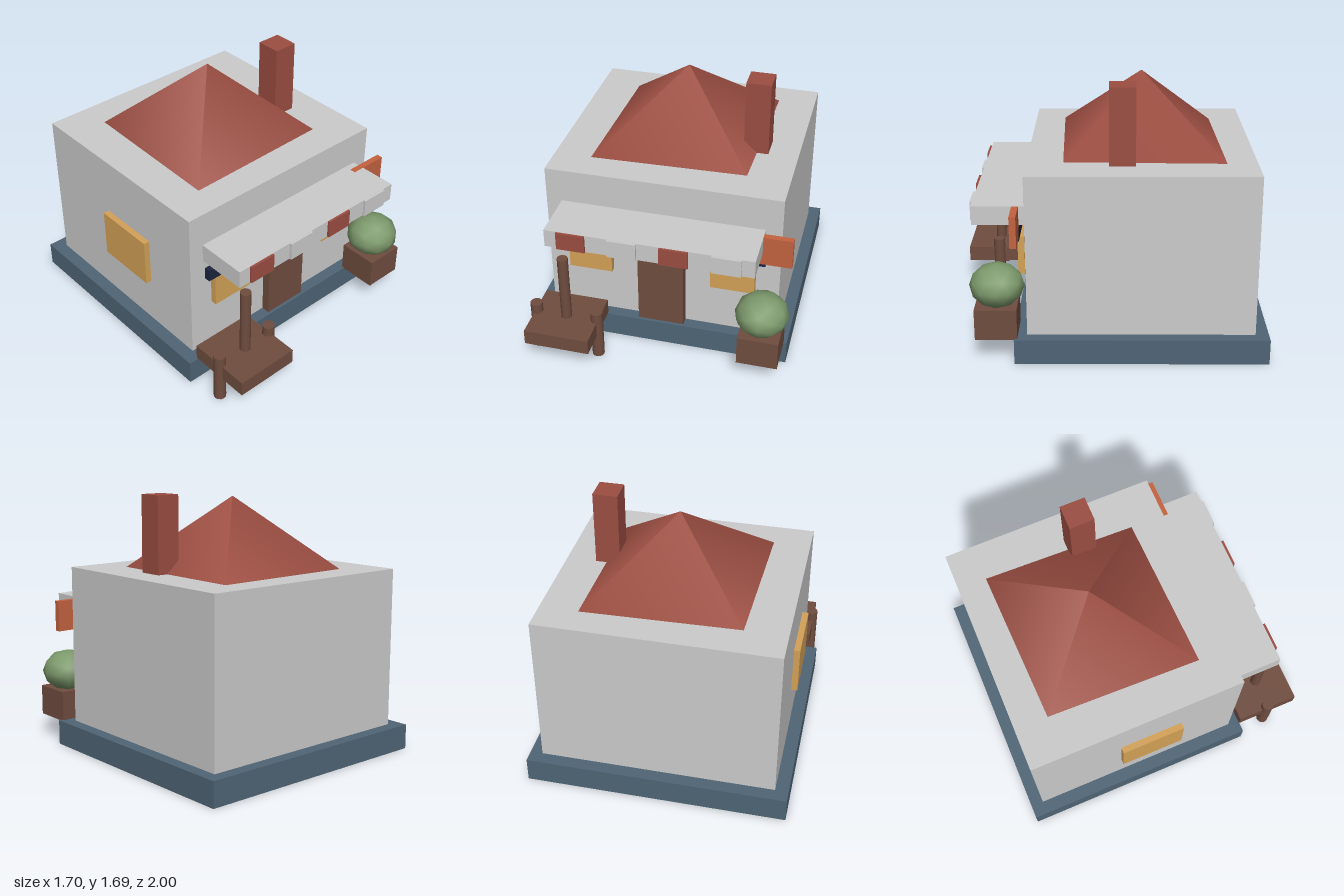
import * as THREE from 'three';

const mat = (color) => new THREE.MeshStandardMaterial({ color });

export function createModel() {
  const model = new THREE.Group();
  const plaster = mat(0xcccccc), slate = mat(0x4f6576), tile = mat(0x9c4e42),
    wood = mat(0x704d3f), amber = mat(0xd4a257), orange = mat(0xc4633f),
    navy = mat(0x1c2440), leaf = mat(0x7d9a6c);

  const add = (name, geometry, material, x, y, z) => {
    const mesh = new THREE.Mesh(geometry, material);
    mesh.name = name;
    mesh.position.set(x, y, z);
    model.add(mesh);
    return mesh;
  };
  // Box given by its extent on each axis
  const box = (name, material, [x0, x1], [y0, y1], [z0, z1]) =>
    add(name, new THREE.BoxGeometry(x1 - x0, y1 - y0, z1 - z0), material,
      (x0 + x1) / 2, (y0 + y1) / 2, (z0 + z1) / 2);
  // Upright round post
  const post = (name, x, z, y0, y1, r) =>
    add(name, new THREE.CylinderGeometry(r, r, y1 - y0, 12), wood, x, (y0 + y1) / 2, z);

  // Plinth and walls
  box('plinth', slate, [-0.855, 0.83], [0, 0.163], [-1, 0.58]);
  box('walls', plaster, [-0.77, 0.75], [0.163, 1.2], [-0.917, 0.503]);

  // Slightly skewed four-sided roof with chimney
  const roof = new THREE.ConeGeometry(1, 0.465, 4);
  roof.scale(0.73, 1, 0.69).rotateY(Math.PI / 4);
  add('roof', roof, tile, -0.013, 1.4325, -0.212);
  box('chimney', tile, [0.397, 0.557], [1.19, 1.69], [-0.168, -0.005]);

  // Door and windows
  box('door', wood, [-0.163, 0.14], [0.163, 0.69], [0.5, 0.56]);
  for (const x of [-0.62, 0.315])
    box('frontWindow', amber, [x, x + 0.285], [0.51, 0.755], [0.518, 0.56]);
  box('sideWindow', amber, [-0.81, -0.768], [0.49, 0.812], [-0.325, 0.1]);

  // Awning with alternating front flaps
  box('awning', plaster, [-0.67, 0.645], [0.855, 0.975], [0.5, 0.835]);
  for (let i = 0; i < 4; i++) {
    const x = -0.59 + i * 0.324;
    box('awningFlap', i % 2 ? plaster : tile, [x, x + 0.182], [0.856, 0.974], [0.825, 0.85]);
  }
  box('awningBeam', navy, [-0.69, 0.665], [0.755, 0.835], [0.545, 0.585]);
  box('hangingSign', orange, [0.565, 0.83], [0.775, 0.975], [0.546, 0.587]);

  // Jetty with its posts
  box('jettyDeck', wood, [-0.795, -0.37], [0.175, 0.277], [0.575, 1]);
  for (const x of [-0.785, -0.377]) post('jettyPost', x, 0.785, 0, 0.345, 0.04);
  post('tallPost', -0.58, 0.79, 0.25, 0.742, 0.035);

  // Planter and bush
  box('planter', wood, [0.547, 0.808], [0.155, 0.355], [0.56, 0.822]);
  const bush = add('bush', new THREE.IcosahedronGeometry(1, 1), leaf, 0.677, 0.47, 0.688);
  bush.scale.set(0.172, 0.14, 0.172);

  return model;
}
